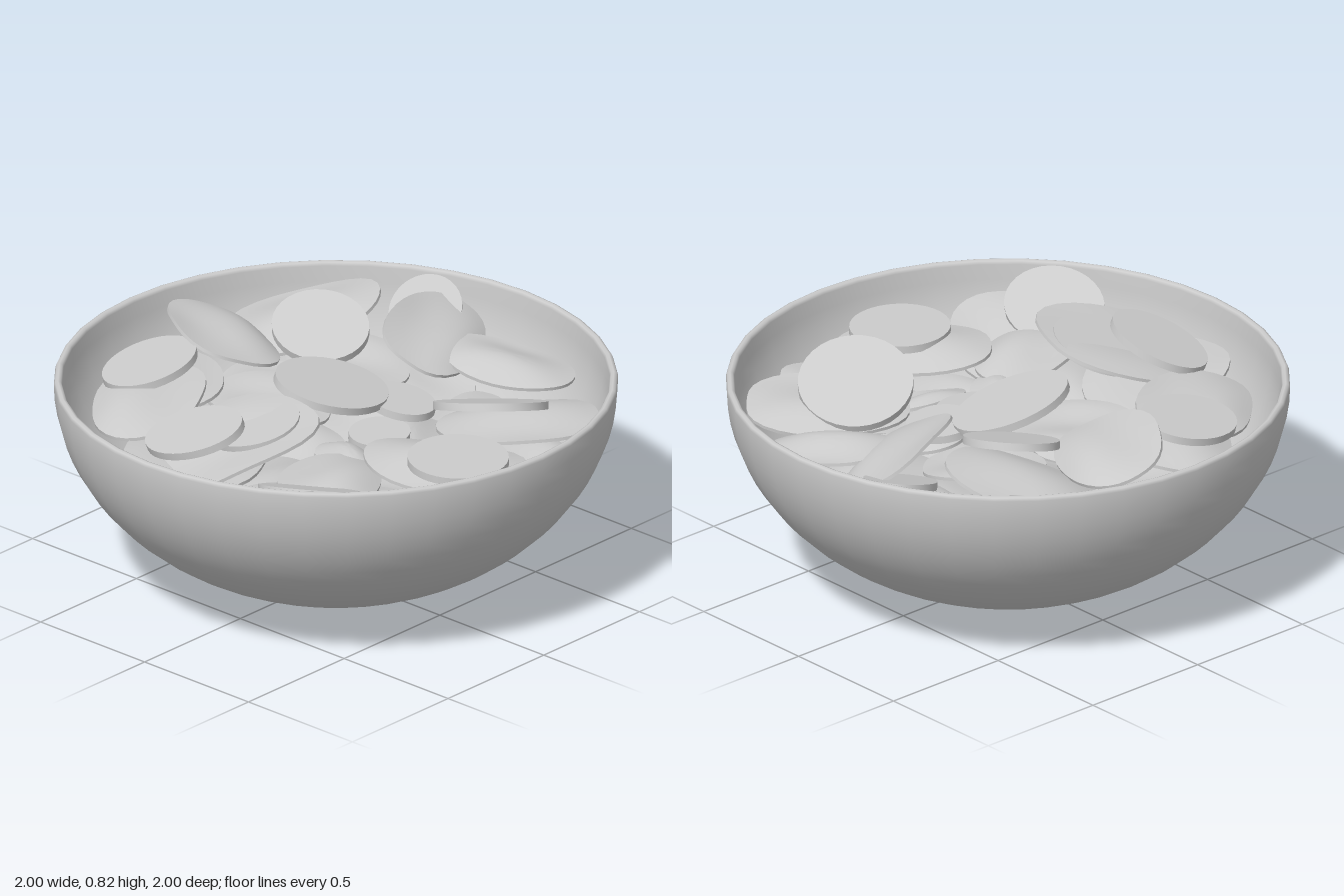
import * as THREE from 'three';
import { toCreasedNormals } from 'three/addons/utils/BufferGeometryUtils.js';

const material = new THREE.MeshStandardMaterial({ color: 0xcccccc, side: THREE.DoubleSide });
const UP = new THREE.Vector3(0, 1, 0);

// Round slab of unit radius, with rings so it can be bent
function slab(thickness, rings) {
  const pts = [];
  const h = thickness / 2;
  for (let i = 0; i <= rings; i++) pts.push(new THREE.Vector2(i / rings, -h));
  for (let i = rings; i >= 0; i--) pts.push(new THREE.Vector2(i / rings, h));
  return new THREE.LatheGeometry(pts, 32);
}

// Lay a piece at (x, y, z), turned by yaw degrees and leaning along (nx, nz)
function place(mesh, x, y, z, yaw, nx, nz) {
  const turn = new THREE.Quaternion().setFromAxisAngle(UP, THREE.MathUtils.degToRad(yaw));
  const normal = new THREE.Vector3(nx, 1, nz).normalize();
  mesh.quaternion.setFromUnitVectors(UP, normal).multiply(turn);
  mesh.position.set(x, y, z);
  return mesh;
}

// Flat round slice
function makeSlice([x, y, z, a, b, yaw, nx, nz]) {
  const geo = slab(0.028, 1);
  geo.scale(a, 1, b);
  const mesh = new THREE.Mesh(toCreasedNormals(geo, 0.7), material);
  mesh.name = 'roundSlice';
  return place(mesh, x, y, z, yaw, nx, nz);
}

// Thin oval leaf, squared in outline, cupped and rippled
function makeLeaf([x, y, z, a, b, yaw, nx, nz], index) {
  const geo = slab(0.012, 6);
  const p = geo.attributes.position;
  for (let i = 0; i < p.count; i++) {
    const u = p.getX(i), v = p.getZ(i);
    const angle = Math.atan2(v, u);
    const r = 1 + (0.04 * Math.cos(3 * angle + index) + 0.06 * Math.sin(2 * angle) ** 2) * Math.hypot(u, v);
    const bend = -0.025 * u * u - 0.02 * v * v + 0.018 * Math.sin(3 * v + index) * Math.cos(1.5 * u);
    p.setXYZ(i, u * a * r, p.getY(i) + bend, v * b * r);
  }
  const mesh = new THREE.Mesh(toCreasedNormals(geo, 0.7), material);
  mesh.name = 'leaf';
  return place(mesh, x, y, z, yaw, nx, nz);
}

function makeBowl() {
  const H = 0.775, wall = 0.03, steps = 20;
  const pts = [];
  // Outer shell, from the base to the rim
  for (let i = 0; i <= steps; i++) {
    const t = (i / steps) * Math.PI / 2;
    pts.push(new THREE.Vector2(Math.sin(t), H - 0.015 - (H - 0.015) * Math.cos(t)));
  }
  // Rounded lip
  pts.push(new THREE.Vector2(0.995, H - 0.004), new THREE.Vector2(0.985, H), new THREE.Vector2(0.975, H - 0.004));
  // Inner shell, back to the base
  for (let i = steps; i >= 0; i--) {
    const t = (i / steps) * Math.PI / 2;
    pts.push(new THREE.Vector2((1 - wall) * Math.sin(t), H - 0.015 - (H - 0.015 - wall) * Math.cos(t)));
  }
  const bowl = new THREE.Mesh(new THREE.LatheGeometry(pts, 40), material);
  bowl.name = 'bowl';
  return bowl;
}

export function createModel() {
  const model = new THREE.Group();
  model.name = 'saladBowl';
  model.add(makeBowl());

  // x, y, z, half length, half width, yaw, lean x, lean z
  const slices = [
    [-0.30, 0.73, -0.62, 0.195, 0.16, 10, -0.15, -0.15],
    [0.31, 0.748, -0.36, 0.185, 0.17, 70, -0.27, 0.22],
    [0.04, 0.705, -0.06, 0.23, 0.19, 0, 0.2, 0.2],
    [-0.64, 0.743, -0.09, 0.20, 0.16, 90, -0.26, -0.24],
    [-0.46, 0.745, 0.02, 0.20, 0.17, 70, -0.18, -0.18],
    [-0.64, 0.685, 0.46, 0.20, 0.17, 80, 0.35, -0.22],
    [-0.10, 0.695, 0.68, 0.185, 0.18, 40, 0, 0.02],
    [0.32, 0.695, 0.45, 0.22, 0.205, 50, 0.3, -0.28],
    [0.23, 0.63, 0.10, 0.14, 0.12, 70, 0.1, 0.1],
    [0.02, 0.60, 0.19, 0.12, 0.10, 0, 0, 0.1],
    [0.75, 0.69, -0.26, 0.18, 0.13, 35, -0.3, 0.2],
  ];
  const topLeaves = [
    [0.075, 0.75, -0.61, 0.265, 0.19, 62, 0.34, 0.2],
    [0.42, 0.71, -0.57, 0.29, 0.23, -50, -0.25, -0.2],
    [-0.27, 0.68, -0.59, 0.27, 0.21, 50, -0.1, -0.1],
    [-0.47, 0.71, -0.48, 0.28, 0.20, 35, -0.16, -0.14],
    [-0.59, 0.725, 0.0, 0.34, 0.28, -25, -0.25, -0.2],
    [-0.61, 0.65, -0.10, 0.29, 0.25, 30, 0.1, 0],
    [0.62, 0.725, -0.08, 0.30, 0.17, 24, 0.27, 0.5],
    [0.69, 0.675, 0.19, 0.24, 0.155, -65, 0, 0.18],
    [-0.09, 0.675, 0.61, 0.29, 0.21, -55, 0.05, 0.05],
    [0.41, 0.64, 0.51, 0.29, 0.21, -40, 0.05, -0.12],
    [-0.45, 0.63, 0.52, 0.26, 0.19, 60, 0.2, -0.1],
    [-0.09, 0.66, -0.23, 0.22, 0.18, -60, 0.05, 0.1],
    [0.26, 0.60, 0.64, 0.22, 0.16, 70, 0, -0.1],
    [-0.40, 0.64, 0.35, 0.22, 0.17, 20, 0.1, 0.1],
    [-0.17, 0.60, 0.22, 0.16, 0.11, 60, 0.1, 0],
    [0.18, 0.57, 0.21, 0.18, 0.14, 30, 0.1, 0.1],
    [0.05, 0.58, 0.40, 0.16, 0.10, -15, 0, 0.2],
    [0.36, 0.65, -0.26, 0.22, 0.17, -60, 0, 0.1],
  ];
  // Hidden lower layer that carries the pile
  const lowerLeaves = [];
  for (let i = 0; i < 14; i++) {
    const angle = i * 2.4, r = 0.6 * Math.sqrt((i + 0.5) / 14);
    const x = r * Math.cos(angle), z = r * Math.sin(angle);
    lowerLeaves.push([x, 0.44 + 0.16 * r, z, 0.23, 0.18, i * 47, -0.25 * x, -0.25 * z]);
  }

  const salad = new THREE.Group();
  salad.name = 'salad';
  slices.forEach((s) => salad.add(makeSlice(s)));
  [...topLeaves, ...lowerLeaves].forEach((l, i) => salad.add(makeLeaf(l, i)));
  model.add(salad);
  return model;
}
